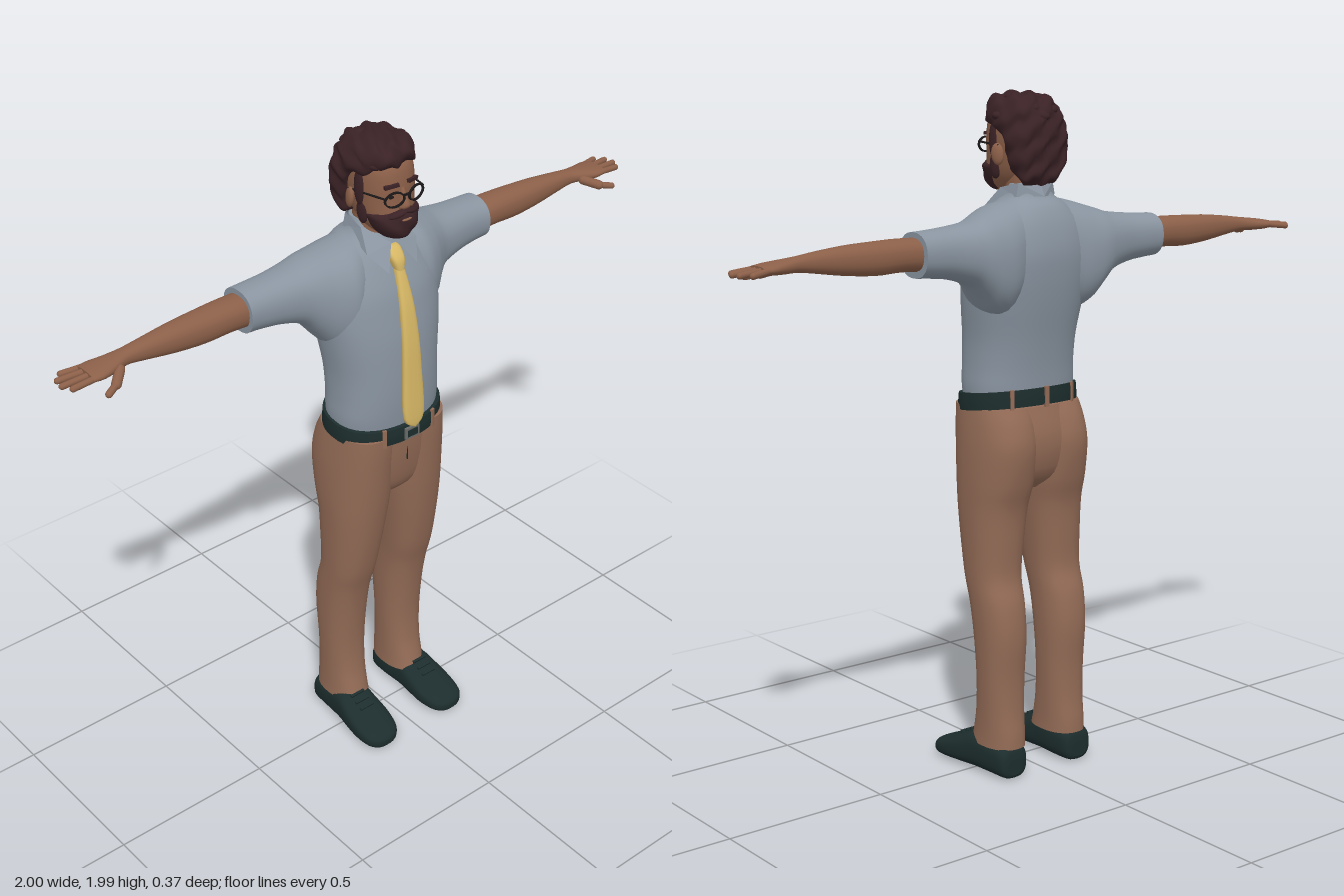
import * as THREE from 'three';

const mat = (name, color, side = THREE.FrontSide) => {
  const m = new THREE.MeshStandardMaterial({ color, side });
  m.name = name;
  return m;
};

// Smooth loft along an axis. Each row: [t, aMin, aMax, bMin, bMax]
// axis y: a = x, b = z; axis x: a = y, b = z; axis z: a = x, b = y
function loft(axis, rows, { s = 1, n = 2.3, seg = 32, sub = 4 } = {}) {
  const cr = (p0, p1, p2, p3, u) => 0.5 * (2 * p1 + (p2 - p0) * u +
    (2 * p0 - 5 * p1 + 4 * p2 - p3) * u * u + (3 * p1 - p0 - 3 * p2 + p3) * u * u * u);
  const rings = [];
  const last = rows.length - 1;
  for (let i = 0; i < last; i++) {
    const q = [rows[Math.max(i - 1, 0)], rows[i], rows[i + 1], rows[Math.min(i + 2, last)]];
    for (let k = 0; k < sub; k++) rings.push(q[1].map((_, c) => cr(q[0][c], q[1][c], q[2][c], q[3][c], k / sub)));
  }
  rings.push(rows[last]);
  const pos = [], idx = [];
  const put = (t, a, b) => {
    const p = axis === 'y' ? [a, t, b] : axis === 'x' ? [t, a, b] : [a, b, t];
    pos.push(p[0] * s, p[1], p[2]);
  };
  const pw = v => Math.sign(v) * Math.pow(Math.abs(v), 2 / n);
  const ring = ([t, a0, a1, b0, b1]) => {
    for (let j = 0; j < seg; j++) {
      const g = j / seg * Math.PI * 2;
      put(t, (a0 + a1) / 2 + (a1 - a0) / 2 * pw(Math.cos(g)), (b0 + b1) / 2 + (b1 - b0) / 2 * pw(Math.sin(g)));
    }
  };
  const flip = (axis === 'y') !== (s < 0);
  const tri = (a, b, c) => flip ? idx.push(a, c, b) : idx.push(a, b, c);
  rings.forEach(ring);
  for (let i = 0; i < rings.length - 1; i++) for (let j = 0; j < seg; j++) {
    const a = i * seg + j, b = i * seg + (j + 1) % seg;
    tri(a, b, b + seg);
    tri(a, b + seg, a + seg);
  }
  // end caps
  [rings[0], rings[rings.length - 1]].forEach((r, e) => {
    const base = pos.length / 3;
    ring(r);
    put(r[0], (r[1] + r[2]) / 2, (r[3] + r[4]) / 2);
    for (let j = 0; j < seg; j++) {
      const k = (j + 1) % seg;
      e ? tri(base + seg, base + j, base + k) : tri(base + seg, base + k, base + j);
    }
  });
  const g = new THREE.BufferGeometry();
  g.setAttribute('position', new THREE.Float32BufferAttribute(pos, 3));
  g.setIndex(idx);
  g.computeVertexNormals();
  return g;
}

// Move every vertex by a rule
function warp(g, rule) {
  const p = g.attributes.position, v = new THREE.Vector3();
  for (let i = 0; i < p.count; i++) {
    rule(v.fromBufferAttribute(p, i));
    p.setXYZ(i, v.x, v.y, v.z);
  }
  g.computeVertexNormals();
  return g;
}
const curl = v => {
  const { x, y, z } = v;
  v.x += 0.004 * Math.sin(95 * y + 60 * z);
  v.y += 0.005 * Math.sin(110 * x + 70 * z);
  v.z += 0.005 * Math.sin(90 * y + 85 * x);
};
// Rows symmetric about x = 0: [y, halfWidth, zMin, zMax]
const sym = rows => rows.map(([y, w, z0, z1]) => [y, -w, w, z0, z1]);

export function createModel() {
  const root = new THREE.Group();
  root.name = 'man';
  const skin = mat('skin', 0x8c6049), hair = mat('darkBrownHair', 0x3a2226);
  const shirt = mat('greyBlueShirt', 0x8a95a1), collarMat = mat('collarCloth', 0x8a95a1, THREE.DoubleSide);
  const cloth = mat('brownTrousers', 0x936b56), leather = mat('darkLeather', 0x1d2d2d);
  const yellow = mat('yellowTie', 0xd6b765), frame = mat('blackFrame', 0x1c1819);
  const metal = mat('buckleMetal', 0x6c6e6c);

  const add = (name, g, m, p = [0, 0, 0], r = [0, 0, 0]) => {
    const mesh = new THREE.Mesh(g, m);
    mesh.name = name;
    mesh.position.set(...p);
    mesh.rotation.set(...r);
    root.add(mesh);
    return mesh;
  };
  const box = (name, m, size, p, r) => add(name, new THREE.BoxGeometry(...size), m, p, r);
  const ball = (name, m, size, p, r) => {
    add(name, new THREE.SphereGeometry(1, 20, 14), m, p, r).scale.set(...size);
  };
  const rod = (name, m, a, b, rad) => {
    const A = new THREE.Vector3(...a), B = new THREE.Vector3(...b), d = B.clone().sub(A);
    const mesh = add(name, new THREE.CapsuleGeometry(rad, d.length(), 5, 10), m);
    mesh.position.copy(A).add(B).multiplyScalar(0.5);
    mesh.quaternion.setFromUnitVectors(new THREE.Vector3(0, 1, 0), d.normalize());
  };

  // Shirt body
  add('shirtBody', loft('y', sym([[1.11, 0.17, -0.13, 0.108], [1.16, 0.174, -0.133, 0.114], [1.22, 0.171, -0.138, 0.118],
    [1.3, 0.172, -0.15, 0.118], [1.4, 0.185, -0.17, 0.112], [1.48, 0.193, -0.182, 0.1], [1.55, 0.188, -0.185, 0.085],
    [1.62, 0.16, -0.172, 0.055], [1.67, 0.115, -0.148, 0.03], [1.7, 0.075, -0.118, 0.01], [1.735, 0.06, -0.106, -0.02]]),
  { seg: 48 }), shirt);

  // Trouser seat, belt and loops
  add('trouserSeat', loft('y', sym([[0.85, 0.05, -0.08, 0.04], [0.9, 0.14, -0.135, 0.085], [1, 0.18, -0.155, 0.105],
    [1.1, 0.177, -0.132, 0.113]])), cloth);
  const tilt = v => { v.y -= v.z * 0.12; };
  add('belt', warp(loft('y', sym([[1.09, 0.184, -0.142, 0.122], [1.115, 0.184, -0.142, 0.124],
    [1.14, 0.182, -0.14, 0.122]]), { seg: 48 }), tilt), leather);
  box('buckle', metal, [0.05, 0.036, 0.008], [0, 1.1, 0.126]);
  box('buckleInset', leather, [0.036, 0.022, 0.008], [0, 1.1, 0.128]);
  box('backBeltLoop', cloth, [0.014, 0.06, 0.008], [0, 1.13, -0.143]);
  box('flySeam', leather, [0.003, 0.07, 0.006], [0, 1.03, 0.106]);

  // Tie
  add('tieBlade', loft('y', sym([[1.125, 0.003, 0.13, 0.142], [1.16, 0.036, 0.122, 0.144], [1.3, 0.033, 0.112, 0.136],
    [1.4, 0.029, 0.105, 0.128], [1.5, 0.024, 0.085, 0.112], [1.57, 0.019, 0.06, 0.092], [1.615, 0.014, 0.04, 0.076]]),
  { n: 3, seg: 24 }), yellow);
  add('tieKnot', loft('y', sym([[1.605, 0.014, 0.035, 0.08], [1.635, 0.022, 0.025, 0.075], [1.66, 0.024, 0.01, 0.055],
    [1.668, 0.018, 0.01, 0.04]]), { n: 3, seg: 20 }), yellow);

  // Neck and head
  add('neck', loft('y', sym([[1.66, 0.056, -0.1, 0.012], [1.73, 0.055, -0.1, 0.012], [1.8, 0.056, -0.1, 0.02]])), skin);
  add('head', loft('y', sym([[1.71, 0.035, 0, 0.06], [1.735, 0.06, -0.06, 0.08], [1.77, 0.076, -0.09, 0.086],
    [1.82, 0.083, -0.11, 0.082], [1.87, 0.086, -0.12, 0.08], [1.92, 0.08, -0.11, 0.068], [1.96, 0.05, -0.08, 0.03]])), skin);
  add('nose', loft('y', sym([[1.797, 0.007, 0.06, 0.088], [1.804, 0.017, 0.06, 0.1], [1.815, 0.015, 0.06, 0.104],
    [1.835, 0.01, 0.06, 0.094], [1.86, 0.008, 0.06, 0.083]]), { seg: 16 }), skin);
  add('beard', warp(loft('y', sym([[1.707, 0.02, 0.03, 0.07], [1.715, 0.042, 0.005, 0.09], [1.74, 0.063, -0.02, 0.1],
    [1.765, 0.074, -0.035, 0.1], [1.783, 0.076, -0.04, 0.094], [1.795, 0.05, -0.02, 0.086]])),
  v => { v.z += 0.003 * Math.sin(100 * v.y + 80 * v.x); }), hair);
  ball('lowerLip', skin, [0.017, 0.004, 0.006], [0, 1.771, 0.098]);

  // Curly hair
  add('hair', warp(loft('y', sym([[1.735, 0.045, -0.13, -0.08], [1.755, 0.075, -0.143, -0.062], [1.8, 0.093, -0.148, -0.047],
    [1.85, 0.1, -0.15, -0.035], [1.88, 0.102, -0.15, 0], [1.91, 0.102, -0.146, 0.06], [1.94, 0.096, -0.138, 0.08],
    [1.965, 0.08, -0.118, 0.073], [1.982, 0.05, -0.085, 0.05], [1.988, 0.01, -0.03, 0]]), { seg: 64, sub: 6 }), curl), hair);
  for (let i = 0; i < 22; i++) {
    const a = i * 2.4, h = 0.35 + 0.6 * (i / 22), c = Math.sqrt(1 - h * h);
    ball('hairCurl', hair, [0.026, 0.015, 0.024],
      [0.086 * c * Math.cos(a), 1.895 + 0.082 * h, -0.034 + 0.1 * c * Math.sin(a)], [0, a, 0.4 * Math.sin(a * 3)]);
  }

  // Glasses rim profile
  const rim = new THREE.Shape();
  rim.absellipse(0, 0, 0.032, 0.023, 0, Math.PI * 2);
  const opening = new THREE.Path();
  opening.absellipse(0, 0, 0.0275, 0.0185, 0, Math.PI * 2, true);
  rim.holes.push(opening);
  const rimGeo = warp(new THREE.ExtrudeGeometry(rim, { depth: 0.006, bevelEnabled: false, curveSegments: 20 }),
    v => { v.x *= 1 - 0.06 * Math.abs(v.y / 0.023); });
  box('glassesBridge', frame, [0.016, 0.005, 0.006], [0, 1.845, 0.097]);

  for (const s of [1, -1]) {
    const side = s > 0 ? 'left' : 'right';
    const m = p => [p[0] * s, p[1], p[2]];

    // Face details
    add(side + 'GlassesRim', rimGeo, frame, [0.037 * s, 1.837, 0.088], [0, 0.2 * s, 0]);
    rod(side + 'GlassesTemple', frame, m([0.068, 1.846, 0.083]), m([0.092, 1.842, -0.035]), 0.003);
    box(side + 'Eyebrow', hair, [0.042, 0.009, 0.012], m([0.036, 1.871, 0.076]), [0, 0.3 * s, -0.1 * s]);
    ball(side + 'Eye', frame, [0.009, 0.005, 0.005], m([0.035, 1.838, 0.074]));
    ball(side + 'Moustache', hair, [0.03, 0.009, 0.014], m([0.022, 1.788, 0.086]), [0, 0.3 * s, -0.25 * s]);
    ball(side + 'Ear', skin, [0.011, 0.031, 0.02], m([0.091, 1.817, -0.032]), [0.15, 0.35 * s, 0]);
    ball(side + 'Sideburn', hair, [0.012, 0.055, 0.02], m([0.08, 1.855, -0.004]));
    ball(side + 'JawBeard', hair, [0.012, 0.04, 0.022], m([0.073, 1.785, 0]));

    // Collar flap
    const flap = new THREE.BufferGeometry();
    const pts = [[0.01, 1.682, 0.044], [0.05, 1.615, 0.084], [0.088, 1.665, 0.036], [0.068, 1.722, -0.015],
      [0.07, 1.7, -0.09], [0.062, 1.738, -0.09], [0, 1.7, -0.13], [0, 1.742, -0.11]].map(m);
    flap.setAttribute('position', new THREE.Float32BufferAttribute(pts.flat(), 3));
    const order = [0, 1, 2, 0, 2, 3, 3, 2, 4, 3, 4, 5, 5, 4, 6, 5, 6, 7];
    flap.setIndex(s > 0 ? order : order.reverse());
    const flat = flap.toNonIndexed();
    flat.computeVertexNormals();
    add(side + 'Collar', flat, collarMat);

    // Sleeve, arm and hand
    add(side + 'Sleeve', loft('x', [[0.05, 1.44, 1.695, -0.15, 0.02], [0.12, 1.37, 1.683, -0.178, 0.06],
      [0.17, 1.38, 1.668, -0.184, 0.045], [0.21, 1.425, 1.655, -0.182, 0.015], [0.25, 1.465, 1.642, -0.174, -0.008],
      [0.32, 1.488, 1.633, -0.163, -0.022], [0.39, 1.497, 1.628, -0.161, -0.03], [0.43, 1.5, 1.626, -0.161, -0.03]], { s }), shirt);
    add(side + 'Arm', loft('x', [[0.4, 1.517, 1.61, -0.146, -0.043], [0.48, 1.521, 1.612, -0.142, -0.044],
      [0.56, 1.518, 1.61, -0.138, -0.047], [0.65, 1.525, 1.606, -0.13, -0.053], [0.74, 1.538, 1.597, -0.12, -0.062],
      [0.8, 1.546, 1.589, -0.117, -0.066], [0.85, 1.545, 1.583, -0.126, -0.052], [0.89, 1.546, 1.578, -0.135, -0.044],
      [0.92, 1.549, 1.573, -0.134, -0.048]], { s, seg: 24 }), skin);
    [[-0.124, 0.962, -0.142], [-0.103, 0.986, -0.118], [-0.08, 0.991, -0.088], [-0.057, 0.976, -0.06]].forEach(
      ([z0, x, z1]) => rod(side + 'Finger', skin, m([0.9, 1.562, z0]), m([x, 1.555, z1]), 0.009));
    rod(side + 'Thumb', skin, m([0.835, 1.558, -0.058]), m([0.87, 1.543, -0.024]), 0.014);
    rod(side + 'ThumbTip', skin, m([0.87, 1.543, -0.024]), m([0.905, 1.536, -0.006]), 0.01);

    // Trouser leg
    add(side + 'TrouserLeg', loft('y', [[0.09, 0.05, 0.178, -0.152, 0.03], [0.13, 0.051, 0.176, -0.15, 0.02],
      [0.2, 0.05, 0.176, -0.142, 0.006], [0.3, 0.047, 0.179, -0.14, 0.002], [0.42, 0.043, 0.183, -0.148, 0.013],
      [0.52, 0.04, 0.186, -0.138, 0.03], [0.6, 0.034, 0.188, -0.116, 0.052], [0.7, 0.023, 0.191, -0.118, 0.071],
      [0.8, 0.01, 0.194, -0.126, 0.086], [0.88, 0, 0.195, -0.148, 0.096], [0.98, -0.003, 0.192, -0.164, 0.106],
      [1.05, -0.003, 0.186, -0.152, 0.112], [1.1, -0.003, 0.18, -0.13, 0.114]], { s }), cloth);
    box(side + 'FrontBeltLoop', cloth, [0.012, 0.058, 0.008], m([0.09, 1.103, 0.112]), [0, 0.35 * s, 0]);
    box(side + 'BackBeltLoop', cloth, [0.012, 0.058, 0.008], m([0.11, 1.128, -0.122]), [0, -0.5 * s, 0]);

    // Shoe with laces
    add(side + 'Shoe', loft('z', [[-0.152, 0.095, 0.15, 0.012, 0.06], [-0.14, 0.073, 0.17, 0, 0.098],
      [-0.08, 0.065, 0.178, 0, 0.112], [-0.01, 0.066, 0.184, 0, 0.12], [0.04, 0.063, 0.192, 0, 0.1],
      [0.1, 0.062, 0.197, 0, 0.074], [0.15, 0.074, 0.19, 0, 0.056], [0.174, 0.095, 0.17, 0.004, 0.042],
      [0.182, 0.118, 0.148, 0.012, 0.03]], { s, n: 2.7 }), leather);
    for (let i = 0; i < 3; i++)
      box(side + 'Lace', leather, [0.05, 0.008, 0.008], m([0.128, 0.112 - i * 0.011, 0.025 + i * 0.023]), [0.45, 0, 0]);
  }
  return root;
}
